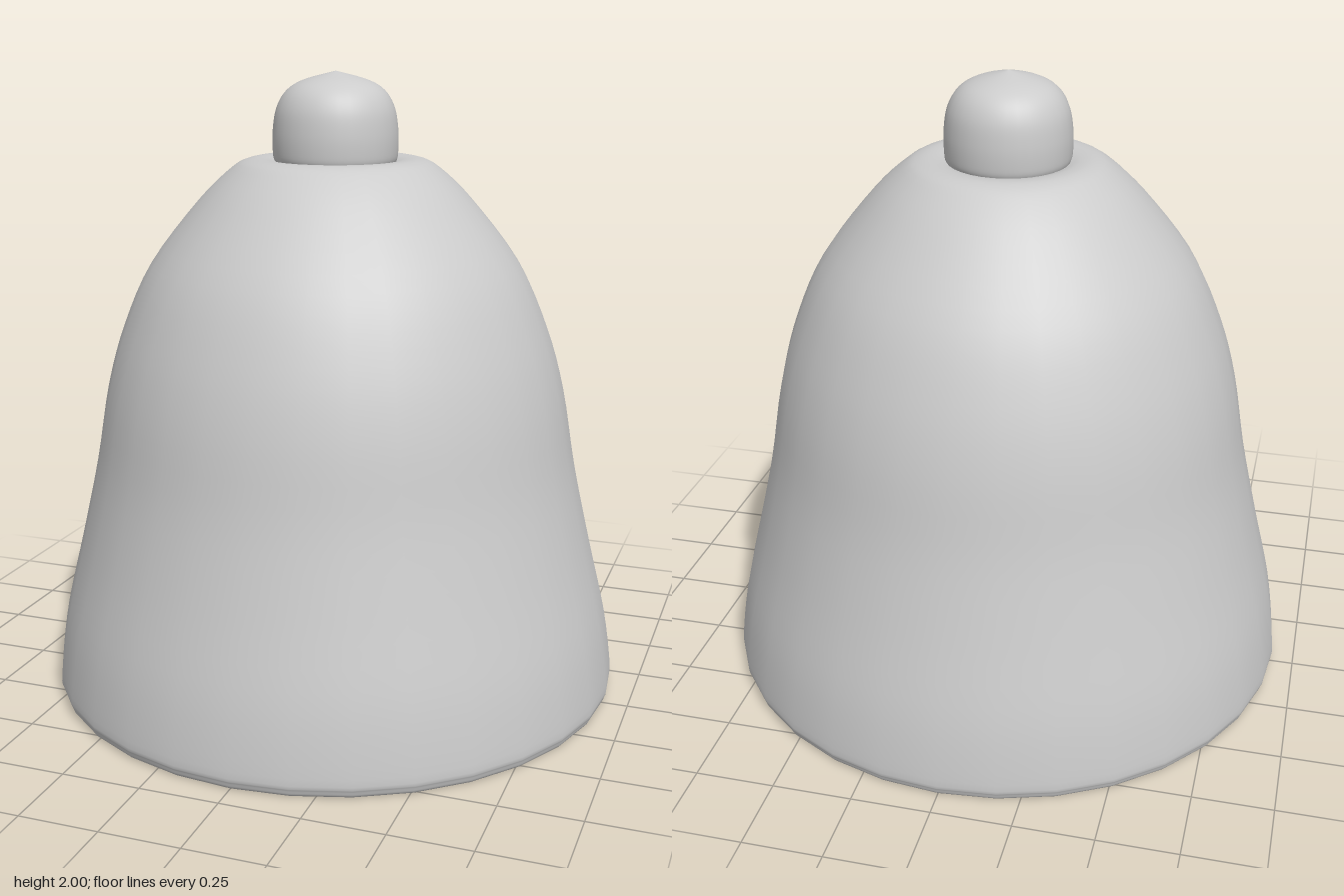
import * as THREE from 'three';

const SIDES = 32;

// Revolve a smooth curve through a few [radius, height] points
function revolve(name, points, steps, material) {
  const curve = new THREE.SplineCurve(points.map(([r, y]) => new THREE.Vector2(r, y)));
  const profile = curve.getPoints(steps);
  profile.forEach((p) => { p.x = Math.max(p.x, 0); p.y = Math.max(p.y, 0); });
  const mesh = new THREE.Mesh(new THREE.LatheGeometry(profile, SIDES), material);
  mesh.name = name;
  return mesh;
}

export function createModel() {
  const group = new THREE.Group();
  group.name = 'bell';
  const material = new THREE.MeshStandardMaterial({ color: 0xcccccc, side: THREE.DoubleSide });

  // Hollow flared body: inner ceiling, inner wall, thin rounded rim, outer wall, crown
  group.add(revolve('bellBody', [
    [0, 1.69], [0.13, 1.69], [0.25, 1.685], [0.305, 1.665], [0.405, 1.575], [0.557, 1.385],
    [0.647, 1.19], [0.705, 0.99], [0.748, 0.745], [0.803, 0.495], [0.865, 0.25],
    [0.892, 0.06], [0.895, 0.012], [0.904, 0], [0.916, 0.003],
    [0.924, 0.02], [0.928, 0.06], [0.9, 0.25], [0.84, 0.5],
    [0.784, 0.75], [0.74, 1.0], [0.682, 1.2], [0.59, 1.4], [0.435, 1.6],
    [0.33, 1.7], [0.275, 1.727], [0.225, 1.729], [0.19, 1.72],
  ], 108, material));

  // Boxy domed knob with a tucked-in base and a slight point on top
  group.add(revolve('topKnob', [
    [0.19, 1.715], [0.198, 1.74], [0.199, 1.81], [0.187, 1.885], [0.155, 1.94],
    [0.1, 1.973], [0, 2.0],
  ], 36, material));

  return group;
}
